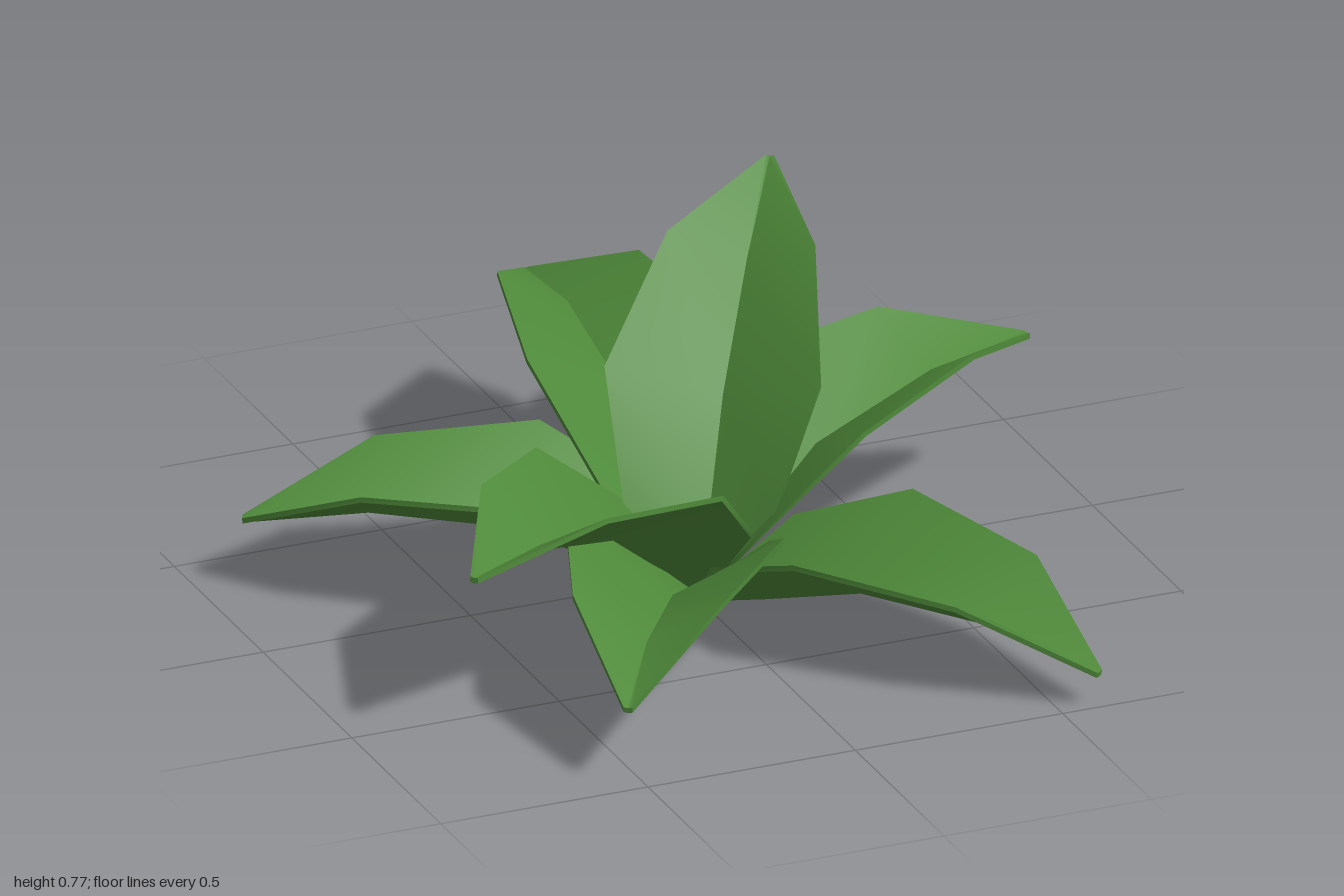
import * as THREE from 'three';
import { toCreasedNormals } from 'three/addons/utils/BufferGeometryUtils.js';

const CENTER = new THREE.Vector3(0, 0, 0.13);
const THICKNESS = 0.013;
// half width and fold depth at the five stations from stem to tip
const WIDTHS = [0.015, 0.17, 0.245, 0.167, 0.01];
const FOLDS = [0.005, 0.125, 0.145, 0.1, 0.002];

// each leaf: ground position of the tip, and its midrib as [distance, height]
const LEAVES = [
  { name: 'backLeaf', tip: [0.06, -1.0], rib: [[0, 0.03], [0.15, 0.1], [0.5, 0.3], [0.86, 0.365], [1.13, 0.33]] },
  { name: 'topLeaf', tip: [0.42, -0.46], rib: [[0, 0.04], [0.08, 0.16], [0.23, 0.4], [0.48, 0.62], [0.72, 0.765]] },
  { name: 'leftLeaf', tip: [0.9, -0.13], rib: [[0, 0.03], [0.11, 0.12], [0.33, 0.29], [0.66, 0.375], [0.935, 0.385]] },
  { name: 'frontLeftLeaf', tip: [0.59, 1.0], rib: [[0, 0.013], [0.17, 0.06], [0.42, 0.135], [0.77, 0.14], [1.05, 0.085]] },
  { name: 'frontRightLowerLeaf', tip: [-0.54, 0.98], rib: [[0, 0.02], [0.15, 0.09], [0.39, 0.19], [0.74, 0.235], [1.005, 0.19]] },
  { name: 'frontRightUpperLeaf', tip: [-0.78, 0.67], rib: [[0, 0.03], [0.13, 0.13], [0.36, 0.3], [0.67, 0.395], [0.945, 0.42]] },
  { name: 'rightLeaf', tip: [-0.9, -0.35], rib: [[0, 0.02], [0.17, 0.08], [0.41, 0.175], [0.74, 0.2], [1.02, 0.165]] },
];

// A folded leaf: V-shaped cross-sections swept along the arching midrib
function leafGeometry({ tip, rib }) {
  const out = new THREE.Vector3(tip[0] - CENTER.x, 0, tip[1] - CENTER.z).normalize();
  const side = new THREE.Vector3(-out.z, 0, out.x);
  const positions = [];
  const index = [];

  rib.forEach(([r, h], i) => {
    const before = rib[Math.max(i - 1, 0)];
    const after = rib[Math.min(i + 1, rib.length - 1)];
    const dr = after[0] - before[0];
    const dh = after[1] - before[1];
    const normal = out.clone().multiplyScalar(-dh).setY(dr).normalize();
    const point = (across, lift) => CENTER.clone()
      .addScaledVector(out, r).setY(h)
      .addScaledVector(side, across)
      .addScaledVector(normal, lift);
    const w = WIDTHS[i];
    const f = FOLDS[i];
    const ring = [
      point(-w, f), point(0, 0), point(w, f),
      point(w, f - THICKNESS), point(0, -THICKNESS), point(-w, f - THICKNESS),
    ];
    ring.forEach((p) => positions.push(p.x, p.y, p.z));
  });

  const quad = (a, b, c, d) => index.push(a, b, c, b, d, c);
  for (let i = 0; i < rib.length - 1; i++) {
    for (let j = 0; j < 6; j++) {
      const k = (j + 1) % 6;
      quad(i * 6 + j, i * 6 + k, i * 6 + 6 + j, i * 6 + 6 + k);
    }
  }
  // close the stem and tip ends
  const e = (rib.length - 1) * 6;
  quad(0, 5, 1, 4);
  quad(1, 4, 2, 3);
  quad(e, e + 1, e + 5, e + 4);
  quad(e + 1, e + 2, e + 4, e + 3);

  const geometry = new THREE.BufferGeometry();
  geometry.setAttribute('position', new THREE.Float32BufferAttribute(positions, 3));
  geometry.setIndex(index);
  return toCreasedNormals(geometry, 0.65);
}

export function createModel() {
  const model = new THREE.Group();
  model.name = 'leafyPlant';
  const green = new THREE.MeshStandardMaterial({ color: 0x4f8a3a });
  for (const leaf of LEAVES) {
    const mesh = new THREE.Mesh(leafGeometry(leaf), green);
    mesh.name = leaf.name;
    model.add(mesh);
  }
  return model;
}
